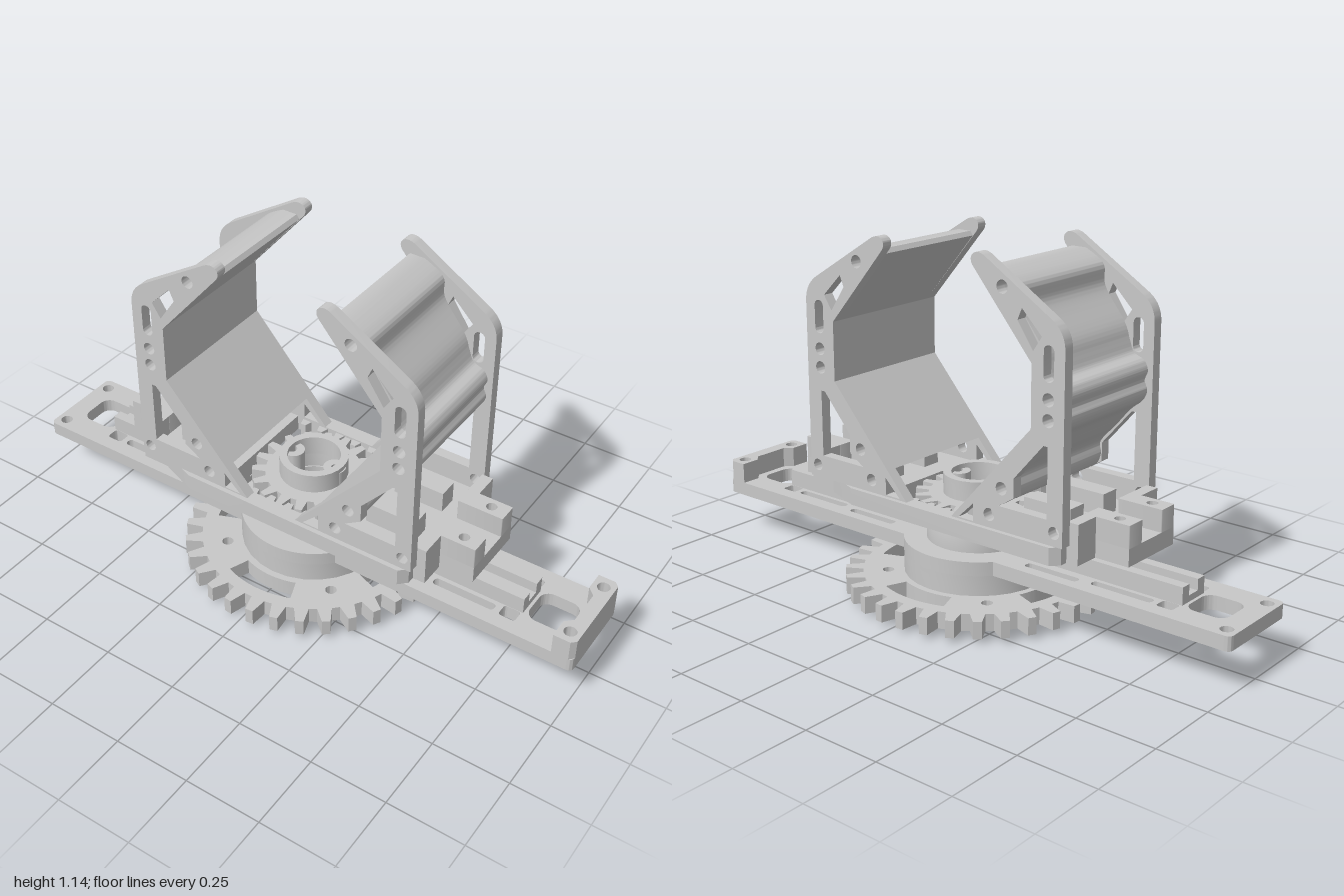
import * as THREE from 'three';
import { toCreasedNormals } from 'three/addons/utils/BufferGeometryUtils.js';

const grey = new THREE.MeshStandardMaterial({ color: 0xc8c8c8 });
grey.name = 'light machined grey';

function add(group, name, geometry) {
  const mesh = new THREE.Mesh(toCreasedNormals(geometry, 0.6), grey);
  mesh.name = name;
  group.add(mesh);
  return mesh;
}
function box(group, name, x0, x1, y0, y1, z0, z1) {
  const g = new THREE.BoxGeometry(x1 - x0, y1 - y0, z1 - z0);
  g.translate((x0 + x1) / 2, (y0 + y1) / 2, (z0 + z1) / 2);
  return add(group, name, g);
}
const vec = pts => pts.map(p => new THREE.Vector2(...p));
const poly = pts => new THREE.Shape(vec(pts));
const circle = (x, y, r) => new THREE.Shape().absarc(x, y, r, 0, Math.PI * 2, false);
// Rounded rectangle, used for outlines and holes
function rounded(x0, x1, y0, y1, r) {
  const s = new THREE.Shape();
  s.absarc(x1 - r, y1 - r, r, 0, Math.PI / 2, false);
  s.absarc(x0 + r, y1 - r, r, Math.PI / 2, Math.PI, false);
  s.absarc(x0 + r, y0 + r, r, Math.PI, Math.PI * 1.5, false);
  s.absarc(x1 - r, y0 + r, r, Math.PI * 1.5, Math.PI * 2, false);
  s.closePath();
  return s;
}
// Curved slot around the centre
function arcSlot(angle, half, r0, r1) {
  const s = new THREE.Shape();
  s.absarc(0, 0, r1, angle - half, angle + half, false);
  s.absarc(0, 0, r0, angle + half, angle - half, true);
  s.closePath();
  return s;
}
function extrude(shape, holes, depth) {
  shape.holes.push(...holes);
  return new THREE.ExtrudeGeometry(shape, { depth, bevelEnabled: false, curveSegments: 14 });
}
// Plate lying flat, shape drawn in x and z
function flat(group, name, shape, holes, y0, y1) {
  return add(group, name, extrude(shape, holes, y1 - y0).rotateX(Math.PI / 2).translate(0, y1, 0));
}
// Plate standing up, shape drawn in x and y
function upright(group, name, shape, holes, z0, z1) {
  return add(group, name, extrude(shape, holes, z1 - z0).translate(0, 0, z0));
}
function gearShape(teeth, root, tip) {
  const pts = [];
  for (let i = 0; i < teeth; i++) {
    for (const [f, r] of [[-0.32, root], [-0.16, tip], [0.16, tip], [0.32, root]]) {
      const a = (i + f) / teeth * Math.PI * 2 + Math.PI / teeth;
      pts.push([Math.cos(a) * r, Math.sin(a) * r]);
    }
  }
  return poly(pts);
}
const ringOf = (n, start, fn) => Array.from({ length: n }, (_, i) => fn(start + i / n * Math.PI * 2));

// One gripper jaw with its carriage and rack arm, on the +x side
function makeJaw() {
  const jaw = new THREE.Group();
  const outline = () => {
    const s = new THREE.Shape();
    s.moveTo(0.09, 0.33);
    s.lineTo(0.5, 0.33);
    s.lineTo(0.5, 0.9);
    s.quadraticCurveTo(0.5, 0.955, 0.45, 0.985);
    s.lineTo(0.215, 1.13);
    s.quadraticCurveTo(0.185, 1.145, 0.17, 1.125);
    s.quadraticCurveTo(0.163, 1.11, 0.175, 1.095);
    s.lineTo(0.385, 0.85);
    s.lineTo(0.385, 0.66);
    s.closePath();
    return s;
  };
  const padHoles = () => [[0.28, 0.46], [0.445, 0.755], [0.445, 0.695], [0.28, 1.05]].map(([x, y]) => circle(x, y, 0.02));
  const cutouts = () => [
    ...padHoles(), circle(0.47, 0.37, 0.019), circle(0.235, 0.37, 0.02),
    rounded(0.427, 0.463, 0.805, 0.91, 0.017),
    poly([[0.42, 0.93], [0.35, 1.0], [0.335, 0.965], [0.39, 0.885]]),
    poly([[0.445, 0.62], [0.43, 0.62], [0.325, 0.5], [0.325, 0.44], [0.27, 0.405], [0.445, 0.405]]),
    poly([[0.175, 0.39], [0.175, 0.335], [0.118, 0.335]]),
  ];
  for (const z of [-0.235, 0.2]) upright(jaw, 'jawSidePlate', outline(), cutouts(), z, z + 0.035);

  // Grip pad: flat inside, wavy back swelling around the spacer holes
  const pad = new THREE.Shape();
  pad.moveTo(0.166, 0.415);
  pad.lineTo(0.27, 0.417);
  pad.splineThru(vec([[0.305, 0.427], [0.322, 0.465], [0.32, 0.505], [0.375, 0.567], [0.425, 0.625],
    [0.468, 0.662], [0.482, 0.695], [0.472, 0.724], [0.482, 0.755], [0.468, 0.785], [0.432, 0.803],
    [0.415, 0.84], [0.395, 0.89], [0.325, 0.985], [0.318, 1.045], [0.295, 1.07], [0.25, 1.094]]));
  pad.lineTo(0.2, 1.094);
  pad.lineTo(0.19, 1.08);
  pad.lineTo(0.385, 0.85);
  pad.lineTo(0.385, 0.66);
  pad.closePath();
  upright(jaw, 'gripPad', pad, padHoles(), -0.2, 0.2);

  // Sliding carriage
  box(jaw, 'carriageBase', 0.2, 0.53, 0.275, 0.33, -0.2, 0.2);
  box(jaw, 'carriageEnd', 0.53, 0.645, 0.275, 0.33, -0.115, 0.115);
  for (const s of [-1, 1]) {
    const z = s * 0.0825;
    flat(jaw, 'carriageBlock', rounded(0.492, 0.645, z - 0.0325, z + 0.0325, 0.003),
      [circle(0.59, z, 0.017)], 0.33, 0.4);
    box(jaw, 'carriageShoulder', 0.492, 0.53, 0.33, 0.4, s * 0.1575 - 0.0425, s * 0.1575 + 0.0425);
    box(jaw, 'innerBlock', 0.27, 0.44, 0.33, 0.4, z - 0.0325, z + 0.0325);
  }
  box(jaw, 'carriageRunner', 0.24, 0.53, 0.205, 0.275, -0.035, 0.035);

  // Rack arm reaching past the pinion, tapered at its far end
  flat(jaw, 'rackArm', poly([[-0.465, 0.19], [-0.31, 0.25], [0.465, 0.25], [0.49, 0.225], [0.49, 0.2],
    [-0.2, 0.2], [-0.2, 0.115], [-0.465, 0.115]]), [], 0.275, 0.33);
  for (let i = -3; i <= 2; i++) {
    const x = i * 0.065 + 0.033;
    flat(jaw, 'rackTooth', poly([[x - 0.018, 0.205], [x + 0.018, 0.205], [x + 0.009, 0.175], [x - 0.009, 0.175]]), [], 0.28, 0.325);
  }

  // Fixed guide rails under the carriage
  for (const s of [-1, 1]) {
    box(jaw, 'guideRail', 0.24, 0.79, 0.18, 0.235, s * 0.04 - 0.017, s * 0.04 + 0.017);
  }
  box(jaw, 'railFloor', 0.24, 0.79, 0.18, 0.2, -0.023, 0.023);
  return jaw;
}

export function createModel() {
  const model = new THREE.Group();
  model.name = 'rotatingGripper';

  // Drive gear and its hub
  flat(model, 'driveGear', gearShape(32, 0.365, 0.42), [
    circle(0, 0, 0.06),
    ...ringOf(4, 0, a => arcSlot(a, 0.37, 0.255, 0.325)),
    ...ringOf(4, Math.PI / 4, a => arcSlot(a, 0.42, 0.19, 0.22)),
    ...ringOf(4, Math.PI / 4, a => circle(Math.cos(a) * 0.285, Math.sin(a) * 0.285, 0.018)),
  ], 0.015, 0.07);
  flat(model, 'gearHub', circle(0, 0, 0.163), [
    circle(0, 0, 0.06),
    ...ringOf(4, Math.PI / 4, a => arcSlot(a, 0.45, 0.105, 0.125)),
  ], 0, 0.015);
  flat(model, 'turntable', circle(0, 0, 0.235), [circle(0, 0, 0.07)], 0.07, 0.135);

  // Long base plate with a round middle
  const a = Math.asin(0.15 / 0.235);
  const base = new THREE.Shape();
  base.moveTo(-0.98, -0.15);
  base.absarc(0, 0, 0.235, Math.PI + a, Math.PI * 2 - a, false);
  base.lineTo(0.98, -0.15);
  base.quadraticCurveTo(1, -0.15, 1, -0.13);
  base.lineTo(1, 0.13);
  base.quadraticCurveTo(1, 0.15, 0.98, 0.15);
  base.absarc(0, 0, 0.235, a, Math.PI - a, false);
  base.lineTo(-0.98, 0.15);
  base.quadraticCurveTo(-1, 0.15, -1, 0.13);
  base.lineTo(-1, -0.13);
  base.quadraticCurveTo(-1, -0.15, -0.98, -0.15);
  const baseHoles = [circle(0, 0, 0.08)];
  for (const s of [-1, 1]) {
    const span = (x0, x1, z0, z1, r) => rounded(Math.min(s * x0, s * x1), Math.max(s * x0, s * x1), z0, z1, r);
    baseHoles.push(span(0.8, 0.93, -0.065, 0.065, 0.035));
    for (const t of [-1, 1]) {
      baseHoles.push(circle(s * 0.965, t * 0.11, 0.02));
      baseHoles.push(span(0.73, 0.785, t * 0.08 - 0.022, t * 0.08 + 0.022, 0.01));
      baseHoles.push(span(0.5, 0.71, t * 0.085 - 0.014, t * 0.085 + 0.014, 0.012));
      baseHoles.push(span(0.27, 0.46, t * 0.1 - 0.014, t * 0.1 + 0.014, 0.012));
    }
  }
  flat(model, 'basePlate', base, baseHoles, 0.135, 0.18);

  // Raised stop at one end of the base
  flat(model, 'endStop', poly([[0.93, -0.15], [0.985, -0.15], [1, -0.135], [1, 0.135], [0.985, 0.15],
    [0.93, 0.15], [0.93, 0.085], [0.955, 0.06], [0.955, -0.06], [0.93, -0.085]]),
    [circle(0.965, 0.11, 0.02), circle(0.965, -0.11, 0.02)], 0.18, 0.248);

  // Rounded bearing housing
  const housing = [[0.08, 0.18], [0.163, 0.18], [0.163, 0.235], [0.157, 0.255], [0.143, 0.27], [0.12, 0.275], [0.08, 0.275], [0.08, 0.18]];
  add(model, 'bearingHousing', new THREE.LatheGeometry(vec(housing), 48));

  // Central pinion with its raised collar and screw lugs
  flat(model, 'pinion', gearShape(18, 0.155, 0.198), [circle(0, 0, 0.085)], 0.275, 0.325);
  flat(model, 'collar', circle(0, 0, 0.11), [circle(0, 0, 0.085)], 0.325, 0.39);
  for (const s of [-1, 1])
    flat(model, 'screwLug', circle(s * 0.078, 0, 0.036), [circle(s * 0.085, 0, 0.017)], 0.275, 0.375);

  // Two jaws, each half a turn from the other
  for (const [name, turn] of [['leftJaw', 0], ['rightJaw', Math.PI]]) {
    const jaw = makeJaw();
    jaw.name = name;
    jaw.rotation.y = turn;
    model.add(jaw);
  }
  return model;
}
